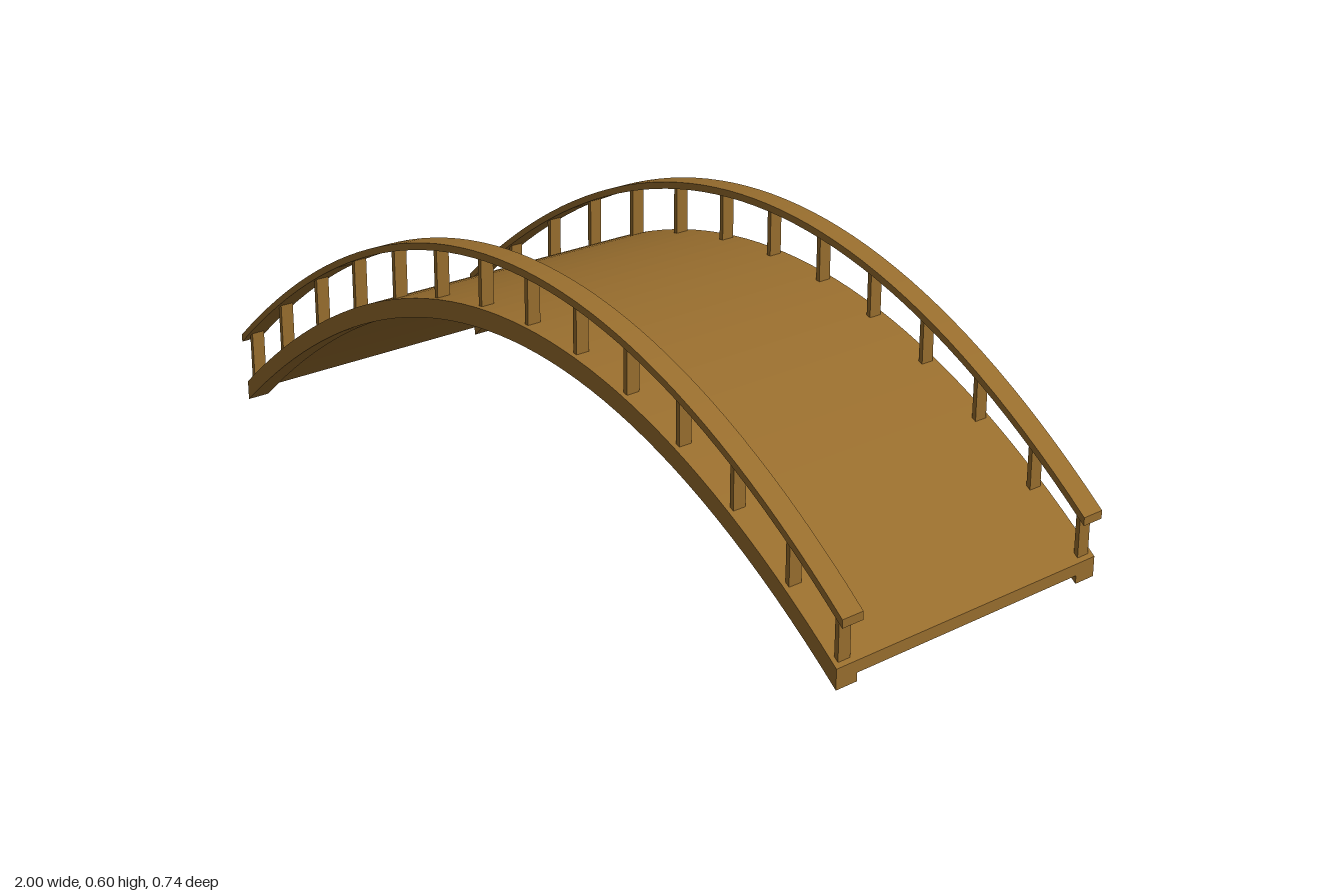
import * as THREE from 'three';

const SEGMENTS = 48;
const Z_SIDE = 0.342;

// Parabolic height with a slight tilt
const curve = (mid, end, half, tilt = 0) => (x) => mid - (mid - end) * (x / half) ** 2 + tilt * x;

// Band between two curves, extruded across z
function archBand(name, top, bottom, half, shiftX, width, z, material) {
  const shape = new THREE.Shape();
  const at = (i) => -half + (2 * half * i) / SEGMENTS;
  shape.moveTo(at(0), bottom(at(0)));
  for (let i = 1; i <= SEGMENTS; i++) shape.lineTo(at(i), bottom(at(i)));
  for (let i = SEGMENTS; i >= 0; i--) shape.lineTo(at(i), top(at(i)));
  shape.closePath();
  const geometry = new THREE.ExtrudeGeometry(shape, { depth: width, bevelEnabled: false });
  geometry.translate(shiftX, 0, z - width / 2);
  const mesh = new THREE.Mesh(geometry, material);
  mesh.name = name;
  return mesh;
}

export function createModel() {
  const wood = new THREE.MeshStandardMaterial({ color: 0x966c2d });
  wood.name = 'brown wood';
  const bridge = new THREE.Group();
  bridge.name = 'archedBridge';

  const half = 0.987;
  const deckTop = curve(0.48, 0.052, half, 0.005);
  const deckBottom = curve(0.457, 0.026, half, 0.005);
  const beamBottom = curve(0.437, 0.007, half, 0.006);
  const railTop = curve(0.603, 0.162, 1);
  const railBottom = curve(0.587, 0.144, 1);

  // Curved walkway between the beams
  bridge.add(archBand('deck', deckTop, deckBottom, half, 0.002, 0.63, 0, wood));

  for (const side of [1, -1]) {
    const z = side * Z_SIDE;
    const group = new THREE.Group();
    group.name = side > 0 ? 'frontRailing' : 'backRailing';

    // Side beam and handrail
    group.add(archBand('sideBeam', deckTop, beamBottom, half, 0.002, 0.055, z, wood));
    group.add(archBand('handrail', railTop, railBottom, 1, 0, 0.055, z, wood));

    // Upright posts, sunk slightly into beam and rail
    for (let i = 0; i < 14; i++) {
      const x = THREE.MathUtils.clamp((i - 6.5) * 0.1535, -0.976, 0.976);
      const low = deckTop(x) - 0.008;
      const high = railBottom(x) + 0.006;
      const post = new THREE.Mesh(new THREE.BoxGeometry(0.01, high - low, 0.032), wood);
      post.position.set(x, (low + high) / 2, z);
      post.name = 'post';
      group.add(post);
    }
    bridge.add(group);
  }
  return bridge;
}
